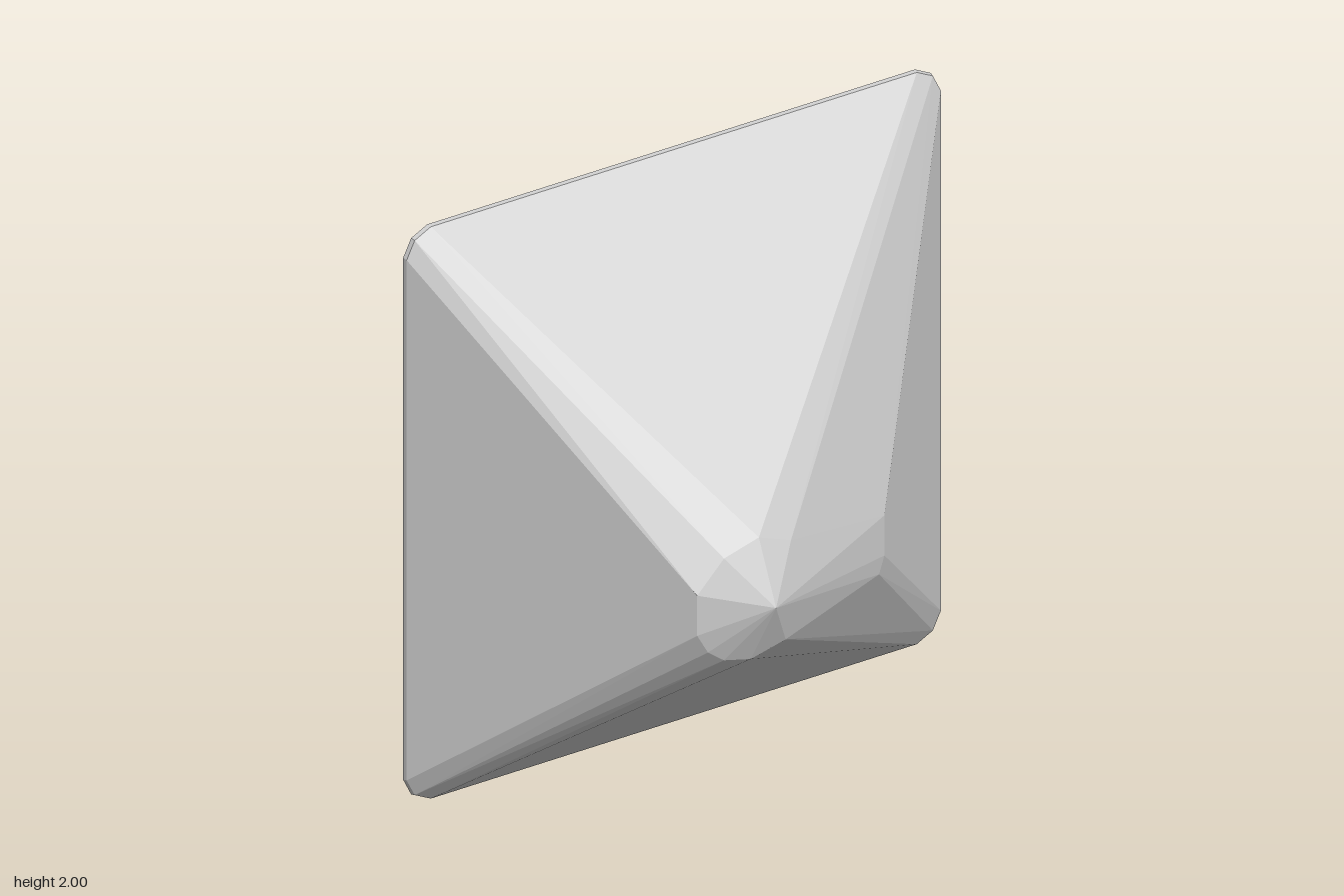
import * as THREE from 'three';
import { ConvexGeometry } from 'three/addons/geometries/ConvexGeometry.js';

export function createModel() {
  const group = new THREE.Group();
  const points = [];
  const add = (x, y, z) => points.push(new THREE.Vector3(x, y, z));

  // Thin square rim with softly clipped corners, in three bevelled layers
  const corner = [[1, 0.91], [0.97, 0.97], [0.91, 1]];
  for (const [z, inset] of [[-0.38, 0.003], [-0.395, 0], [-0.412, 0.012]])
    for (const sx of [-1, 1]) for (const sy of [-1, 1])
      for (const [x, y] of corner) add(sx * (x - inset), 1 + sy * (y - inset), z);

  // Flat back panel
  for (const sx of [-1, 1]) for (const sy of [-1, 1]) add(sx * 0.58, 1 + sy * 0.58, -0.48);

  // Off-centre peak and the blunt ring around it
  add(-0.2, 0.83, 0.475);
  const ring = [
    [-0.43, 0.9], [-0.43, 0.76], [-0.39, 0.69], [-0.33, 0.645], [-0.23, 0.62], [-0.1, 0.65],
    [-0.08, 0.99], [-0.2, 1.035], [-0.33, 1.0],
  ];
  for (const [x, y] of ring) add(x, y, 0.38);

  // Lower shoulder on the left side
  for (const [x, y] of [[0.4, 0.85], [0.4, 0.71], [0.38, 0.65], [0.32, 0.61]]) add(x, y, 0.187);

  const stone = new THREE.Mesh(
    new ConvexGeometry(points),
    new THREE.MeshStandardMaterial({ color: 0xcccccc, flatShading: true }),
  );
  stone.name = 'facetedStud';
  group.add(stone);
  return group;
}
